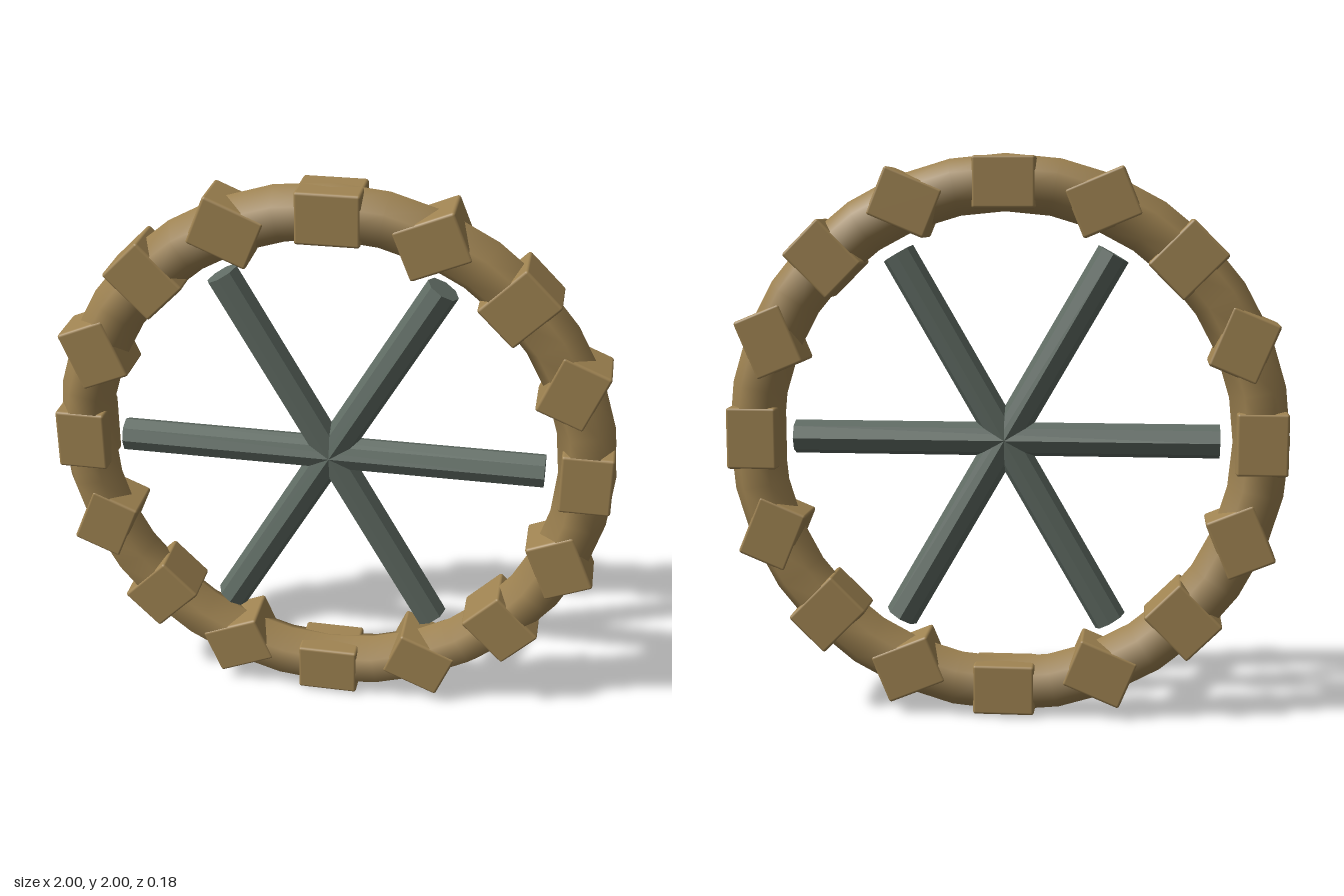
import * as THREE from 'three';
import { RoundedBoxGeometry } from 'three/addons/geometries/RoundedBoxGeometry.js';

export function createModel() {
  const model = new THREE.Group();
  model.name = 'spokedWheel';

  const wood = new THREE.MeshStandardMaterial({ color: 0xa08452 });
  wood.name = 'tanWood';
  const metal = new THREE.MeshStandardMaterial({ color: 0x606c64, flatShading: true });
  metal.name = 'greyGreenMetal';

  const add = (name, geometry, material) => {
    const mesh = new THREE.Mesh(geometry, material);
    mesh.name = name;
    model.add(mesh);
    return mesh;
  };

  // Rim: smooth ring with a six-sided section
  const ringRadius = 0.9;
  add('rim', new THREE.TorusGeometry(ringRadius, 0.1, 6, 32), wood).position.y = 1;

  // Blocks around the rim, each turning against its position angle
  const blockGeometry = new RoundedBoxGeometry(0.22, 0.18, 0.18, 2, 0.01);
  const blockCount = 16;
  for (let i = 0; i < blockCount; i++) {
    const a = (i / blockCount) * Math.PI * 2;
    const block = add('rimBlock', blockGeometry, wood);
    block.position.set(Math.sin(a) * ringRadius, 1 + Math.cos(a) * ringRadius, 0);
    block.rotation.z = a;
  }

  // Spokes: three octagonal rods crossing at the centre
  const spokeGeometry = new THREE.CylinderGeometry(0.06, 0.06, 1.51, 8);
  for (let i = 0; i < 3; i++) {
    const spoke = add('spoke', spokeGeometry, metal);
    spoke.position.y = 1;
    spoke.rotation.z = Math.PI / 2 + (i * Math.PI) / 3;
  }

  return model;
}
